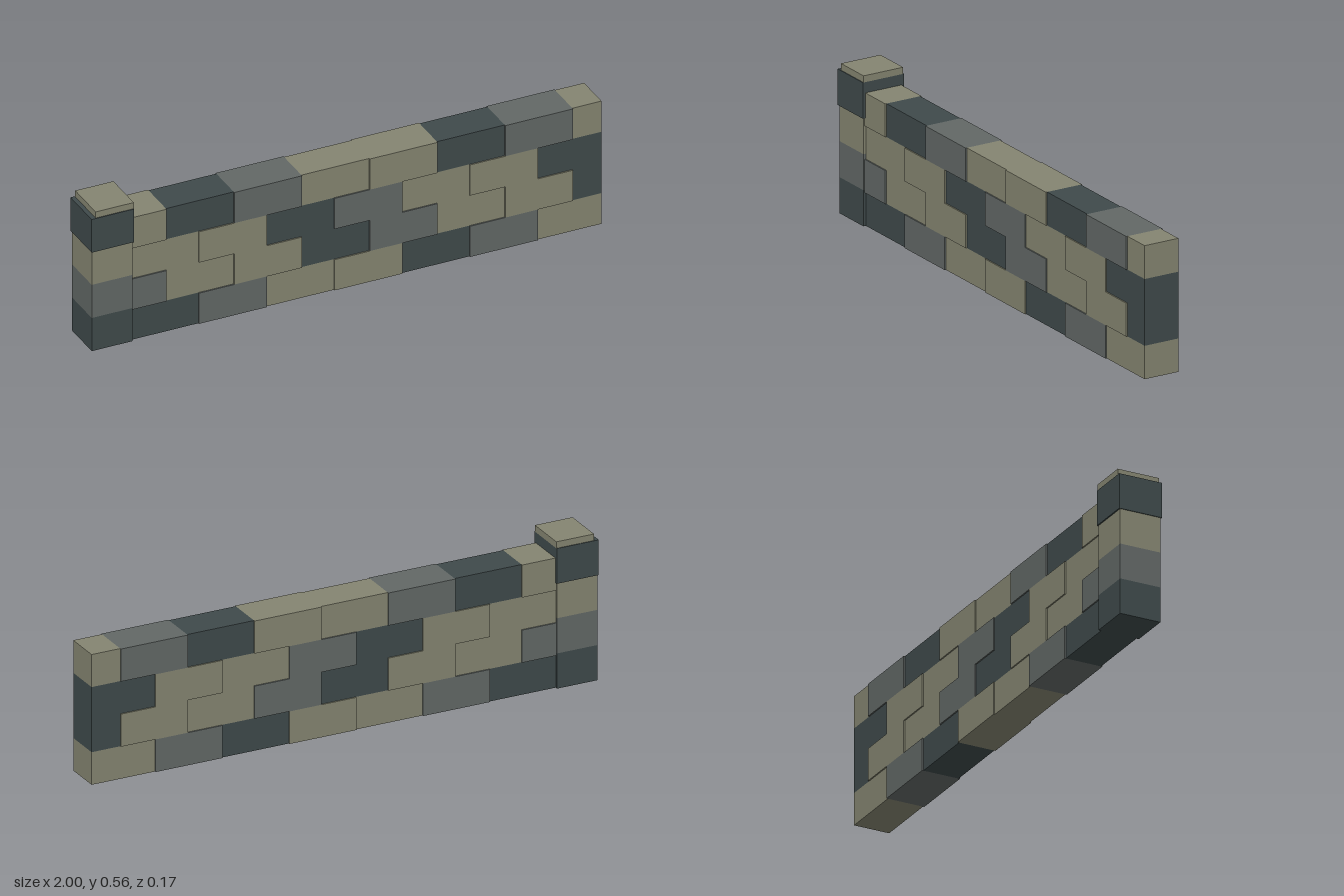
import * as THREE from 'three';

export function createModel() {
  const model = new THREE.Group();
  model.name = 'stoneWall';

  const makeMaterial = (name, color) => {
    const m = new THREE.MeshStandardMaterial({ color });
    m.name = name;
    return m;
  };
  const T = makeMaterial('tanStone', 0x858571);
  const D = makeMaterial('darkStone', 0x3f4a4b);
  const G = makeMaterial('greyStone', 0x626866);

  // A block given by its x range, y range and full depth
  function block(parent, name, material, x0, x1, y0, y1, depth) {
    const mesh = new THREE.Mesh(new THREE.BoxGeometry(x1 - x0, y1 - y0, depth), material);
    mesh.position.set((x0 + x1) / 2, (y0 + y1) / 2, 0);
    mesh.name = name;
    parent.add(mesh);
  }

  // Four staggered courses, listed from the ground up
  const wall = new THREE.Group();
  wall.name = 'wall';
  model.add(wall);
  const courses = [
    { start: -0.84, colors: [D, G, T, T, D, G, T] },
    { start: -0.967, colors: [G, T, T, D, G, T, T, D] },
    { start: -0.84, colors: [T, T, D, G, T, T, D] },
    { start: -0.967, colors: [T, D, G, T, T, D, G, T] },
  ];
  const width = 0.2645, height = 0.125;
  courses.forEach(({ start, colors }, row) => {
    colors.forEach((color, i) => {
      const x0 = Math.max(start + i * width, -0.85);
      const x1 = Math.min(start + (i + 1) * width, 0.998);
      // Every other stone stands slightly proud; the end stones are recessed
      const proud = (colors.length - 1 - i) % 2 === 1;
      block(wall, 'wallStone', color, x0, x1, row * height, (row + 1) * height, proud ? 0.15 : 0.14);
    });
  });

  // End pillar with a wider head stone and a thin cap
  const pillar = new THREE.Group();
  pillar.name = 'pillar';
  model.add(pillar);
  [D, G, T].forEach((color, i) => {
    block(pillar, 'pillarStone', color, -0.997, -0.838, i * 0.135, (i + 1) * 0.135, 0.16);
  });
  block(pillar, 'pillarHead', D, -1, -0.834, 0.405, 0.54, 0.17);
  block(pillar, 'pillarCap', T, -0.983, -0.834, 0.54, 0.565, 0.164);

  return model;
}
